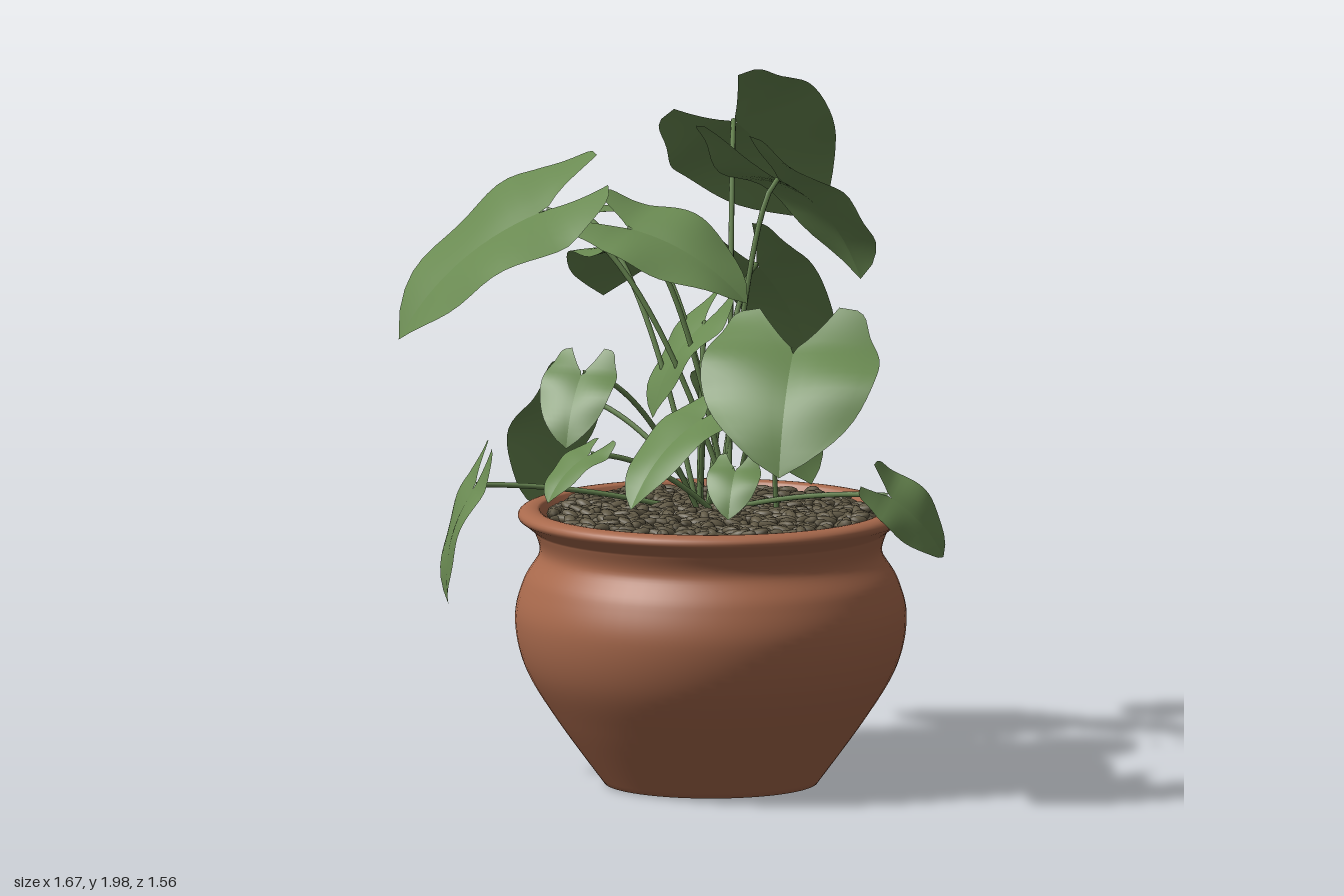
import * as THREE from 'three';
import { mergeGeometries } from 'three/addons/utils/BufferGeometryUtils.js';

const V = (a) => new THREE.Vector3(...a);
const POT_X = 0.11, POT_Z = 0.22;

// Small seeded generator for the stones and stem roots
function seeded(seed) {
  return () => {
    seed = (seed * 16807) % 2147483647;
    return seed / 2147483647;
  };
}

// Heart-shaped blade from the notch (base) to the tip. It lies level across,
// then rolls about its midrib; ratio is width over length.
function leafGeometry({ base, tip, roll = 0, ratio = 0.92, lobe = 0.34 }) {
  const b = V(base), d = V(tip).sub(b), L = d.length();
  d.normalize();
  const s = new THREE.Vector3(-d.z, 0, d.x).normalize().applyAxisAngle(d, -roll);
  const n = s.clone().cross(d);
  const W = L * ratio / 2, rows = 22, cols = 6, halves = [];
  for (const sign of [-1, 1]) {
    const pos = [], idx = [];
    for (let i = 0; i <= rows; i++) {
      const a = Math.pow(i / rows, 1.4);
      const v = a * (1 + lobe) - lobe;
      const notch = Math.max(0, -v / lobe);
      const inner = 0.45 * W * Math.pow(notch, 0.8);
      const round = Math.sqrt(a) * Math.pow(1 - a, 0.75) / 0.431;
      const outer = W * (round + 0.45 * Math.max(0, 1 - 5 * a) ** 2);
      const arch = v < 0 ? 0.15 * v : 0.15 * v + 0.25 * v * (1 - v) - 0.15 * v * v;
      for (let j = 0; j <= cols; j++) {
        const x = inner + (outer - inner) * j / cols, r = x / W;
        const h = arch * L + W * (0.18 * r - 0.2 * r * r) + 0.08 * W * r * Math.sin(v * 8 + sign);
        const p = b.clone().addScaledVector(d, v * L).addScaledVector(s, sign * x).addScaledVector(n, h);
        pos.push(p.x, p.y, p.z);
        if (i < rows && j < cols) {
          const k = i * (cols + 1) + j, m = k + cols + 1;
          if (sign < 0) idx.push(k, m, k + 1, k + 1, m, m + 1);
          else idx.push(k, k + 1, m, k + 1, m + 1, m);
        }
      }
    }
    const g = new THREE.BufferGeometry();
    g.setAttribute('position', new THREE.Float32BufferAttribute(pos, 3));
    g.setIndex(idx);
    g.computeVertexNormals();
    halves.push(g);
  }
  return mergeGeometries(halves);
}

// Tall blades
const TALL_LEAVES = [
  { name: 'topBackLeaf', base: [-0.2, 1.81, -0.38], tip: [-0.16, 1.48, -0.77], roll: 0.75 },
  { name: 'backLeaf', base: [0.11, 1.7, -0.13], tip: [0.2, 1.38, -0.43], ratio: 1, lobe: 0.55 },
  { name: 'centreLeaf', base: [-0.18, 1.58, 0.21], tip: [0.17, 1.38, 0.12], roll: -0.4, ratio: 0.8 },
  { name: 'largeRightLeaf', base: [-0.42, 1.62, 0.26], tip: [-0.79, 1.24, 0.47], roll: 0.35 },
  { name: 'outerRightLeaf', base: [-0.48, 1.56, -0.02], tip: [-0.82, 1.44, -0.14], ratio: 0.8 },
  { name: 'backRightLeaf', base: [-0.33, 1.46, -0.13], tip: [-0.63, 1.27, -0.36] },
  { name: 'droopingBackLeaf', base: [-0.06, 1.42, -0.28], tip: [-0.06, 1, -0.65], roll: 0.4, ratio: 0.5 },
  { name: 'largeLeftLeaf', base: [0.56, 1.33, 0.48], tip: [0.67, 1, 0.73], ratio: 1.2 },
];

// Low and young blades
const LOW_LEAVES = [
  { name: 'lowBackLeaf', base: [0, 1.08, -0.11], tip: [0.13, 0.8, -0.28], roll: 0.6 },
  { name: 'frontRightLeaf', base: [-0.16, 1.2, 0.48], tip: [-0.13, 1, 0.61] },
  { name: 'frontLeaf', base: [0.13, 1.07, 0.28], tip: [0.05, 0.83, 0.55], ratio: 0.68 },
  { name: 'innerLeaf', base: [-0.02, 1.3, 0.05], tip: [-0.12, 1.03, 0.17] },
  { name: 'hangingRightLeaf', base: [-0.47, 0.86, 0.56], tip: [-0.55, 0.51, 0.58], roll: 0.5, ratio: 0.6 },
  { name: 'sideRightLeaf', base: [-0.46, 1.06, 0.08], tip: [-0.58, 0.71, 0.05] },
  { name: 'hangingLeftLeaf', base: [0.63, 0.86, 0.09], tip: [0.72, 0.67, -0.06], roll: -1.1, ratio: 0.75 },
  { name: 'smallLeftLeaf', base: [0.31, 0.95, 0.4], tip: [0.35, 0.82, 0.5] },
  { name: 'smallRightLeaf', base: [-0.12, 0.97, 0.5], tip: [-0.18, 0.84, 0.63] },
];

// Pot outline: recessed foot, rounded belly, neck, then a rolled rim
function potProfile() {
  const points = (list) => list.map((p) => new THREE.Vector2(...p));
  const belly = new THREE.SplineCurve(points([
    [0.305, 0.005], [0.44, 0.19], [0.53, 0.34], [0.56, 0.48], [0.535, 0.59], [0.49, 0.67], [0.505, 0.735],
  ])).getPoints(48);
  const rim = [];
  for (let i = 0; i <= 12; i++) {
    const a = -0.9 + i * 0.27;
    rim.push(new THREE.Vector2(0.515 + 0.037 * Math.cos(a), 0.778 + 0.022 * Math.sin(a)));
  }
  return [...points([[0, 0.035], [0.25, 0.035], [0.27, 0.002]]), ...belly, ...rim, ...points([[0.465, 0.75]])];
}

export function createModel() {
  const model = new THREE.Group();
  model.name = 'pottedPlant';
  const material = (name, color, side = THREE.FrontSide) => {
    const m = new THREE.MeshStandardMaterial({ color, side });
    m.name = name;
    return m;
  };
  const terracotta = material('terracotta', 0xa8694c);
  const leafGreen = material('leafGreen', 0x6a8a52, THREE.DoubleSide);
  const stemGreen = material('stemGreen', 0x627f4c);
  const stone = material('stone', 0x625a46);
  const soilBrown = material('soilBrown', 0x4a4334);
  const add = (name, geometry, mat, parent = model) => {
    const mesh = new THREE.Mesh(geometry, mat);
    mesh.name = name;
    parent.add(mesh);
    return mesh;
  };

  const pot = add('pot', new THREE.LatheGeometry(potProfile(), 72), terracotta);
  pot.position.set(POT_X, 0, POT_Z);

  // Soil disc
  const soil = add('soil', new THREE.CircleGeometry(0.47, 48).rotateX(-Math.PI / 2), soilBrown);
  soil.position.set(POT_X, 0.765, POT_Z);

  // Bean-shaped stones packed evenly over the soil
  const rand = seeded(71);
  const stones = [];
  const count = 900;
  for (let i = 0; i < count; i++) {
    const r = 0.455 * Math.sqrt((i + 0.5) / count), a = i * 2.39996 + rand() * 0.2;
    const g = new THREE.SphereGeometry(1, 8, 6);
    g.scale(0.028 + rand() * 0.01, 0.012 + rand() * 0.004, 0.014 + rand() * 0.005);
    g.rotateZ((rand() - 0.5) * 0.7).rotateY(rand() * Math.PI * 2);
    g.translate(POT_X + r * Math.cos(a), 0.773 + rand() * 0.018, POT_Z + r * Math.sin(a));
    stones.push(g);
  }
  add('stones', mergeGeometries(stones), stone);

  // Leaves, each with an arching stem from the middle of the clump
  for (const leaf of [...TALL_LEAVES, ...LOW_LEAVES]) {
    const part = new THREE.Group();
    part.name = leaf.name;
    model.add(part);
    add('blade', leafGeometry(leaf), leafGreen, part);
    const end = V(leaf.base);
    const root = new THREE.Vector3(0.08 + (rand() - 0.5) * 0.12, 0.76, 0.13 + (rand() - 0.5) * 0.12);
    const bend = root.clone().lerp(end, 0.5);
    bend.y = root.y + (end.y - root.y) * 0.95;
    const path = new THREE.QuadraticBezierCurve3(root, bend, end);
    add('stem', new THREE.TubeGeometry(path, 20, 0.008, 7), stemGreen, part);
  }

  // Young unopened shoot
  const shoot = add('shoot', new THREE.ConeGeometry(0.009, 0.6, 7), stemGreen);
  shoot.position.set(0.24, 1.05, 0.1);
  shoot.rotation.z = 0.06;
  return model;
}
